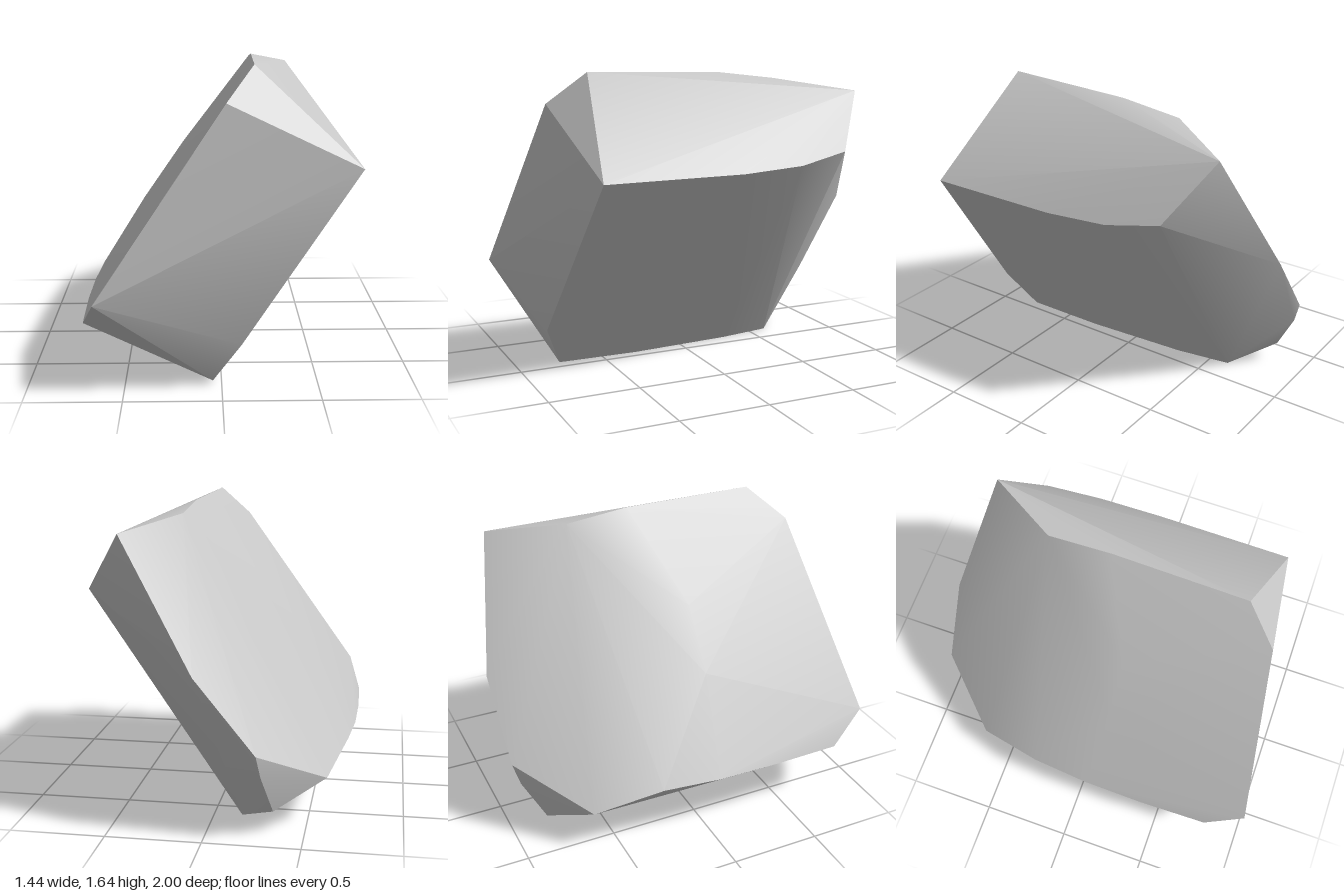
import * as THREE from 'three';
import { ConvexGeometry } from 'three/addons/geometries/ConvexGeometry.js';
import { toCreasedNormals } from 'three/addons/utils/BufferGeometryUtils.js';

// Corners of a tilted, rough-cut stone block, grouped by edge
const corners = [
  // upper ridge, front to back
  [0.02, 1.47, 0.83], [0.165, 1.64, 0.645], [0.185, 1.627, -0.1], [0.19, 1.587, -0.45], [0.44, 1.52, -0.84],
  // outer edge on the +x side
  [0.715, 1.13, 0.765], [0.717, 1.135, 0], [0.7, 1.155, -0.35], [0.65, 1.21, -0.645],
  // bottom edge
  [0.1, 0.25, 0.877], [-0.045, 0.01, 0.765], [-0.06, 0, 0.3], [-0.1, 0, -0.3], [-0.15, 0, -0.61],
  // lower edge on the -x side
  [-0.64, 0.5, 1], [-0.71, 0.34, 0.79], [-0.72, 0.34, 0.4], [-0.715, 0.34, 0.05], [-0.69, 0.35, -0.28], [-0.6, 0.25, -0.65],
  // back
  [0.04, 0.85, -1], [-0.27, 0.46, -0.985], [-0.29, 0.34, -0.95], [-0.34, 0.12, -0.83],
  // slight bulges of the sloping side
  [-0.42, 0.84, 0.1], [-0.2, 1.16, 0.1],
];

export function createModel() {
  const group = new THREE.Group();
  group.name = 'rock';
  const stone = new THREE.MeshStandardMaterial({ color: 0xc8c8c8 });
  stone.name = 'pale stone grey';

  // Convex body: gentle bends are smooth, real edges stay sharp
  const hull = new ConvexGeometry(corners.map((p) => new THREE.Vector3(...p)));
  const body = new THREE.Mesh(toCreasedNormals(hull, 0.48), stone);
  body.name = 'stoneBlock';
  group.add(body);
  return group;
}
